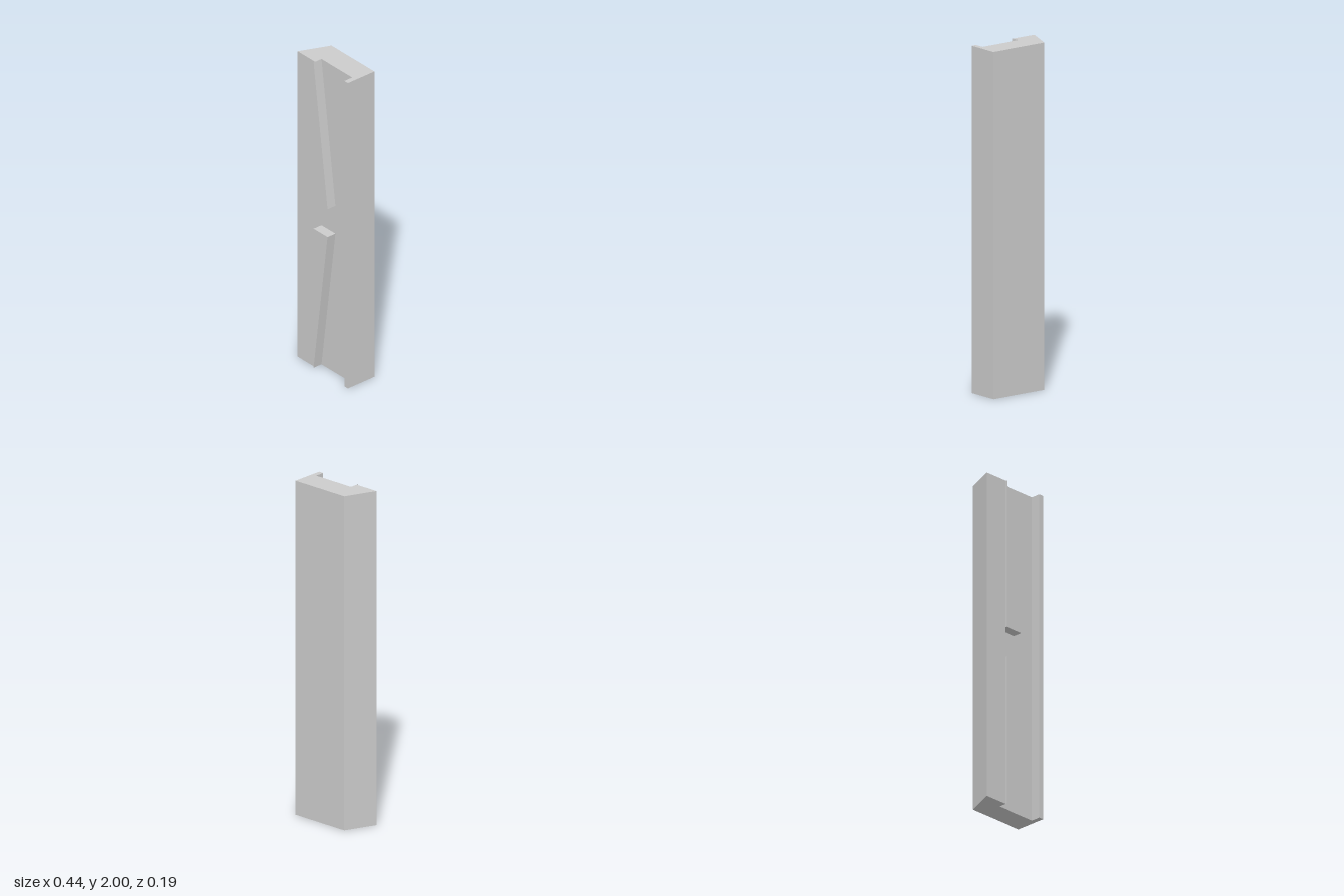
import * as THREE from 'three';

const material = new THREE.MeshStandardMaterial({ color: 0xcccccc, flatShading: true });

// Extrudes a straight-edged outline by the given depth.
function extrude(points, depth) {
  const shape = new THREE.Shape(points.map(([x, y]) => new THREE.Vector2(x, y)));
  return new THREE.ExtrudeGeometry(shape, { depth, bevelEnabled: false });
}

function addMesh(group, name, geometry) {
  const mesh = new THREE.Mesh(geometry, material);
  mesh.name = name;
  group.add(mesh);
}

export function createModel() {
  const group = new THREE.Group();
  group.name = 'slottedBar';

  const height = 2;
  const slotLeft = -0.073; // slot wall that the wedges rest against
  const slotFloor = 0.039;
  const front = 0.097;

  // Bar body: constant section in (x, z) with a slanted side, a slot and a thin lip
  const section = [
    [-0.147, -0.098], [0.222, -0.098], [0.222, front], [0.191, front],
    [0.191, slotFloor], [slotLeft, slotFloor], [slotLeft, 0.086], [-0.223, 0.086],
  ];
  const body = extrude(section.map(([x, z]) => [x, -z]), height);
  body.rotateX(-Math.PI / 2);
  addMesh(group, 'barBody', body);

  // Two tapered wedges in the slot, widest near the middle
  const wedges = [['upperWedge', height, 1.093], ['lowerWedge', 0, 0.911]];
  for (const [name, tipY, baseY] of wedges) {
    const wedge = extrude([[slotLeft, tipY], [slotLeft, baseY], [0.047, baseY]], front - slotFloor);
    wedge.translate(0, 0, slotFloor);
    addMesh(group, name, wedge);
  }

  return group;
}
